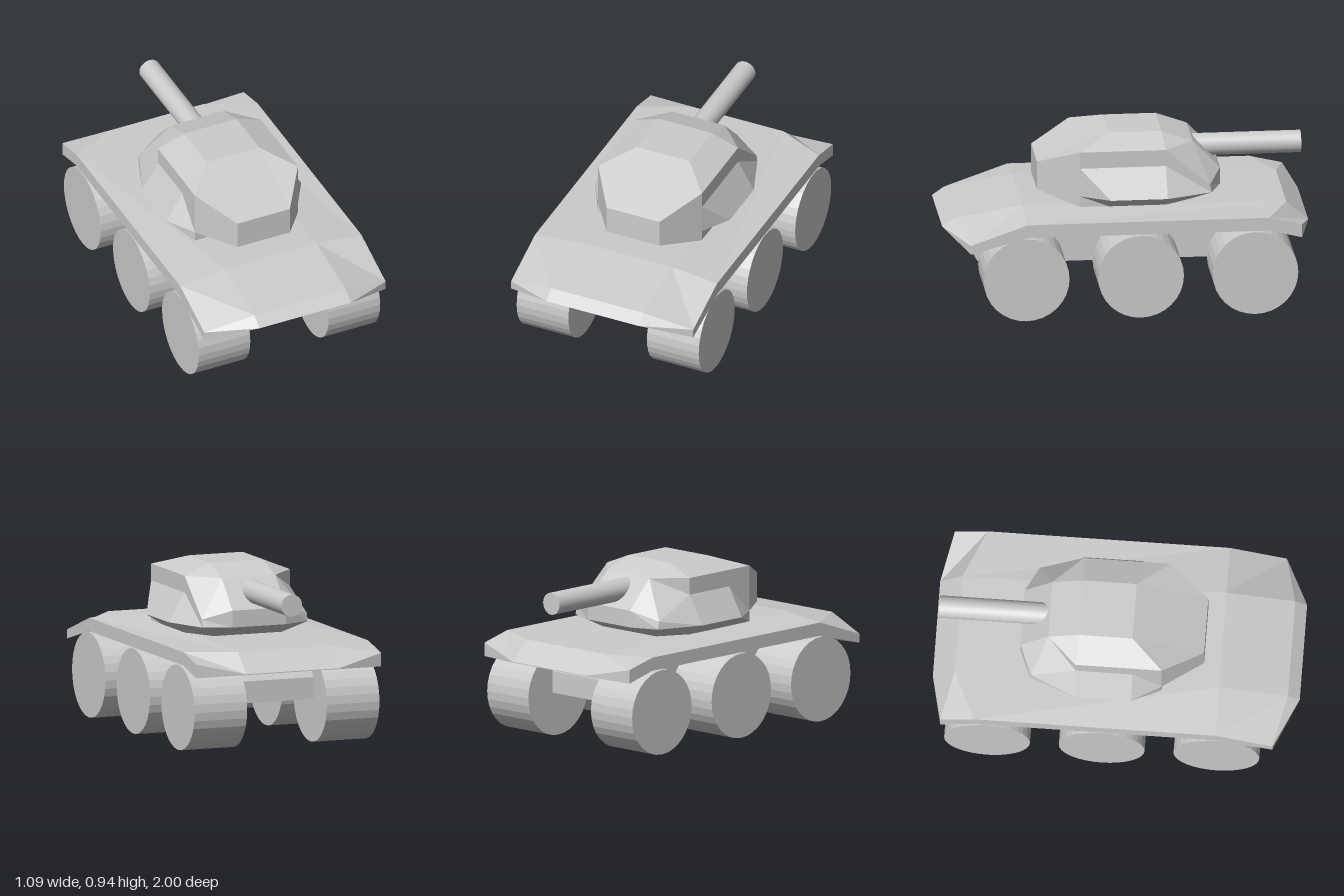
import * as THREE from 'three';

const flat = new THREE.MeshStandardMaterial({ color: 0xcccccc, flatShading: true });
const smooth = new THREE.MeshStandardMaterial({ color: 0xcccccc });

// Skins a stack of rings; each ring lists its +x half and is mirrored to -x.
function loft(halves) {
  const rings = halves.map(h => [...h, ...h.slice().reverse().map(([x, y, z]) => [-x, y, z])]);
  const n = halves[0].length, m = 2 * n, pos = [];
  const v = p => new THREE.Vector3(...p);
  const tri = (a, b, c) => {
    const area = v(b).sub(v(a)).cross(v(c).sub(v(a))).length();
    if (area > 1e-7) pos.push(...a, ...b, ...c);
  };
  for (let i = 0; i < rings.length - 1; i++) {
    for (let j = 0; j < m; j++) {
      const k = (j + 1) % m, a = rings[i], b = rings[i + 1];
      tri(a[j], b[j], b[k]);
      tri(a[j], b[k], a[k]);
    }
  }
  const cap = (r, put) => {
    for (let j = 1; j < n - 1; j++) {
      put(r[0], r[j], r[j + 1]);
      put(r[m - 1], r[m - 2 - j], r[m - 1 - j]);
    }
    put(r[0], r[n - 1], r[n]);
    put(r[0], r[n], r[m - 1]);
  };
  cap(rings[0], tri);
  cap(rings[rings.length - 1], (a, b, c) => tri(a, c, b));
  const g = new THREE.BufferGeometry();
  g.setAttribute('position', new THREE.Float32BufferAttribute(pos, 3));
  g.computeVertexNormals();
  return g;
}

export function createModel() {
  const model = new THREE.Group();
  const add = (name, geometry, material = flat) => {
    const mesh = new THREE.Mesh(geometry, material);
    mesh.name = name;
    model.add(mesh);
    return mesh;
  };

  // Upper hull: sections from back to front (inner top, outer top, outer bottom, inner bottom)
  add('upperHull', loft([
    [[0.275, 0.445, -1], [0.545, 0.505, -0.94], [0.545, 0.43, -0.94], [0.275, 0.44, -1]],
    [[0.275, 0.55, -0.88], [0.545, 0.548, -0.76], [0.545, 0.475, -0.76], [0.275, 0.445, -0.8]],
    [[0.275, 0.577, 0.56], [0.545, 0.548, 0.56], [0.545, 0.475, 0.56], [0.275, 0.45, 0.56]],
    [[0.275, 0.515, 0.935], [0.545, 0.44, 0.87], [0.545, 0.39, 0.87], [0.275, 0.455, 0.9]],
    [[0.275, 0.47, 1], [0.545, 0.44, 0.87], [0.545, 0.39, 0.87], [0.275, 0.47, 1]],
  ]));

  // Lower hull between the wheels
  add('lowerHull', loft([
    [[0.245, 0.46, 0.62], [0.245, 0.46, -0.66]],
    [[0.245, 0.36, 0.69], [0.245, 0.36, -0.73]],
    [[0.245, 0.24, 0.69], [0.245, 0.24, -0.73]],
  ]));

  // Turret: rings from roof to base, each running from +z to -z
  add('turret', loft([
    [[0.158, 0.938, 0.08], [0.158, 0.938, 0.08], [0.158, 0.938, 0.08],
      [0.158, 0.938, -0.21], [0.158, 0.938, -0.21], [0.158, 0.938, -0.21]],
    [[0.158, 0.785, 0.47], [0.31, 0.877, 0.25], [0.31, 0.877, 0.09],
      [0.31, 0.877, -0.22], [0.158, 0.877, -0.38], [0.158, 0.877, -0.38]],
    [[0.158, 0.785, 0.47], [0.31, 0.785, 0.25], [0.31, 0.785, 0.09],
      [0.31, 0.785, -0.22], [0.31, 0.67, -0.46], [0.158, 0.72, -0.53]],
    [[0.158, 0.627, 0.47], [0.31, 0.627, 0.25], [0.405, 0.627, 0.09],
      [0.405, 0.627, -0.22], [0.31, 0.627, -0.47], [0.158, 0.627, -0.53]],
    [[0.158, 0.565, 0.25], [0.31, 0.565, 0.25], [0.31, 0.565, 0.09],
      [0.31, 0.565, -0.22], [0.2, 0.56, -0.37], [0.158, 0.56, -0.37]],
  ]));

  // Gun barrel
  const barrel = add('gunBarrel', new THREE.CylinderGeometry(0.061, 0.061, 0.685, 32), smooth);
  barrel.rotation.x = Math.PI / 2;
  barrel.position.set(0, 0.803, -0.6425);

  // Three wheels per side
  const wheelGeometry = new THREE.CylinderGeometry(0.234, 0.234, 0.31, 32);
  wheelGeometry.rotateZ(Math.PI / 2);
  for (const side of [-1, 1]) {
    for (const z of [0.565, -0.06, -0.685]) {
      add(side > 0 ? 'leftWheel' : 'rightWheel', wheelGeometry).position.set(side * 0.39, 0.234, z);
    }
  }
  return model;
}
